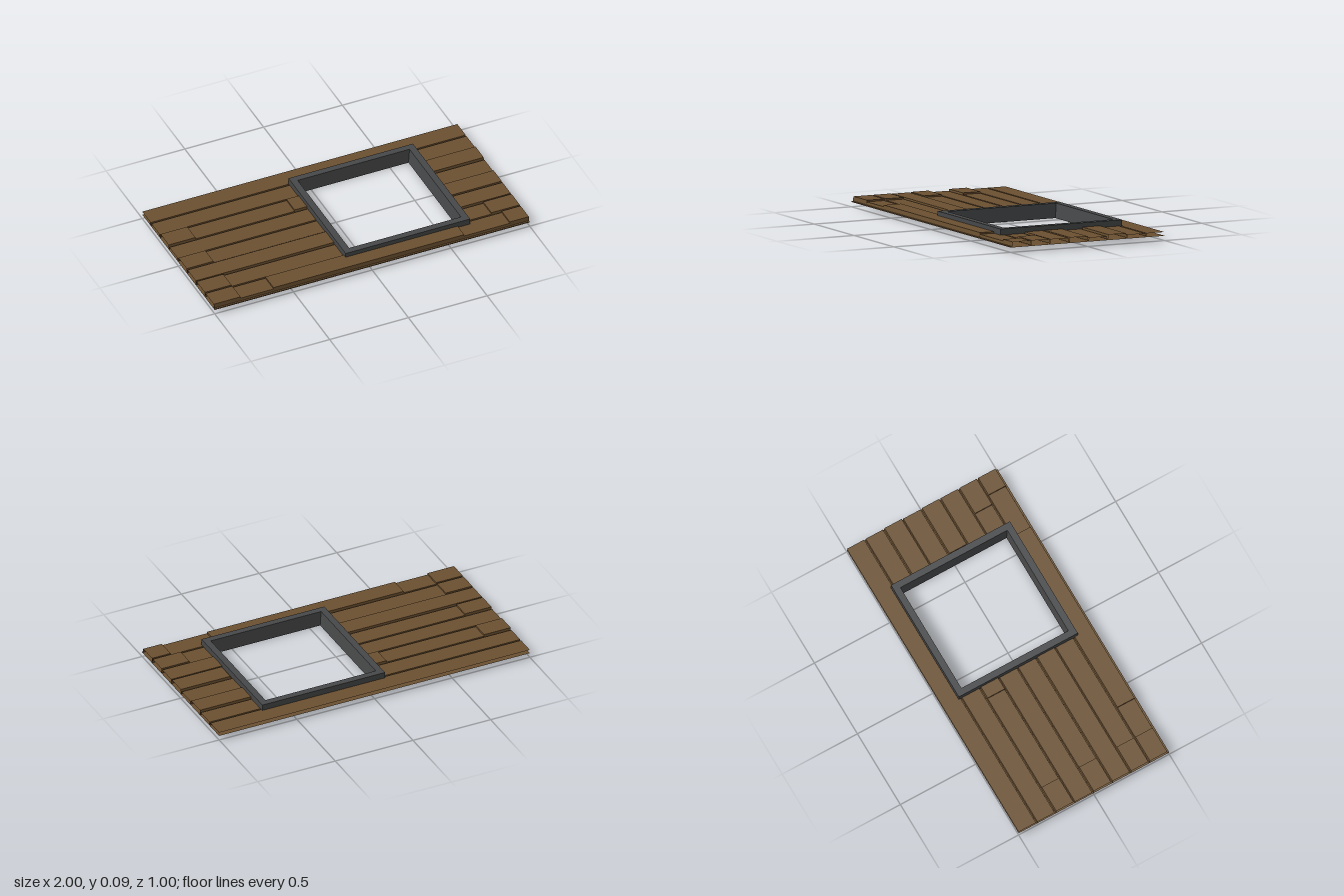
import * as THREE from 'three';

const BOTTOM = 0.028, GROOVE = 0.034, LOW = 0.05, HIGH = 0.06;
const HOLE = { x0: -0.122, x1: 0.672, z: 0.397 };
const FIRST_GROOVE = -0.38, PITCH = 0.1245;

// Planks per row, back to front: [start x, top height]
const ROWS = [
  [[-1, LOW]],
  [[-1, LOW]],
  [[-1, HIGH], [-0.83, LOW], [-0.2, HIGH]],
  [[-1, LOW]],
  [[-1, HIGH], [-0.83, LOW], [0.68, HIGH]],
  [[-1, 0.058]],
  [[-1, HIGH], [-0.83, LOW], [0.82, HIGH]],
  [[-1, HIGH], [-0.83, LOW], [-0.62, HIGH], [0.59, LOW], [0.88, HIGH]],
];

// Collects flat four-cornered faces into one geometry
function faceCollector() {
  const pos = [];
  return {
    quad(a, b, c, d) { pos.push(...a, ...b, ...c, ...a, ...c, ...d); },
    build() {
      const g = new THREE.BufferGeometry();
      g.setAttribute('position', new THREE.Float32BufferAttribute(pos, 3));
      g.computeVertexNormals();
      return g;
    },
  };
}

const inHole = (x, z) => x > HOLE.x0 && x < HOLE.x1 && Math.abs(z) < HOLE.z;

// Cross-section of one row: [z, y] points from its back edge to its front edge
function rowProfile(i, h) {
  const z0 = FIRST_GROOVE + PITCH * (i - 1), z1 = z0 + PITCH;
  const first = i === 0, last = i === ROWS.length - 1;
  const p = first ? [[-0.5, h], [-HOLE.z, h]] : [[z0, GROOVE], [z0 + 0.003, GROOVE], [z0 + 0.006, h]];
  if (last) p.push([HOLE.z, h]);
  p.push([z1 - 0.005, h], [z1 - 0.002, GROOVE], [z1, GROOVE]);
  if (last) p.push([0.5, GROOVE], [0.5, BOTTOM]);
  return p;
}

function plankGeometry() {
  const f = faceCollector();
  ROWS.forEach((planks, i) => {
    planks.forEach(([start, h], k) => {
      const end = k + 1 < planks.length ? planks[k + 1][0] : 1;
      const xs = [start, HOLE.x0, HOLE.x1, end].filter((x) => x >= start && x <= end).sort((a, b) => a - b);
      const p = rowProfile(i, h);
      for (let j = 0; j + 1 < p.length; j++) {
        const [za, ya] = p[j], [zb, yb] = p[j + 1], zm = (za + zb) / 2;
        for (let m = 0; m + 1 < xs.length; m++) {
          const a = xs[m], b = xs[m + 1];
          if (inHole((a + b) / 2, zm)) continue;
          f.quad([a, ya, za], [a, yb, zb], [b, yb, zb], [b, ya, za]);
          // Walls of the window cut-out
          if (b === HOLE.x0 && inHole(0, zm)) f.quad([b, BOTTOM, zb], [b, BOTTOM, za], [b, ya, za], [b, yb, zb]);
          if (a === HOLE.x1 && inHole(0, zm)) f.quad([a, BOTTOM, za], [a, BOTTOM, zb], [a, yb, zb], [a, ya, za]);
          if (inHole((a + b) / 2, zb + 0.001) && zb === -HOLE.z) f.quad([a, BOTTOM, zb], [b, BOTTOM, zb], [b, yb, zb], [a, yb, zb]);
          if (inHole((a + b) / 2, za - 0.001) && za === HOLE.z) f.quad([b, BOTTOM, za], [a, BOTTOM, za], [a, ya, za], [b, ya, za]);
        }
        // Step at the joint with the next plank
        if (k + 1 < planks.length && ya === h && yb === h && !inHole(end, zm)) {
          const n = planks[k + 1][1];
          f.quad([end, n, zb], [end, n, za], [end, h, za], [end, h, zb]);
        }
      }
    });
  });
  return f.build();
}

// Flat underside with the window opening left out
function undersideGeometry() {
  const f = faceCollector();
  const xs = [-1, HOLE.x0, HOLE.x1, 1], zs = [-0.5, -HOLE.z, HOLE.z, 0.5], y = BOTTOM;
  for (let i = 0; i < 3; i++) {
    for (let j = 0; j < 3; j++) {
      if (i === 1 && j === 1) continue;
      f.quad([xs[i], y, zs[j]], [xs[i + 1], y, zs[j]], [xs[i + 1], y, zs[j + 1]], [xs[i], y, zs[j + 1]]);
    }
  }
  return f.build();
}

// Square frame: a closed profile turned in four steps, inner wall slightly tapered
function frameGeometry() {
  const profile = [[0.343, 0], [0.395, 0], [0.395, 0.085], [0.355, 0.085], [0.343, 0]]
    .map(([r, y]) => new THREE.Vector2(r * Math.SQRT2, y));
  const g = new THREE.LatheGeometry(profile, 4, Math.PI / 4).toNonIndexed();
  g.computeVertexNormals();
  return g;
}

export function createModel() {
  const model = new THREE.Group();
  model.name = 'plankPanelWithWindow';
  const wood = new THREE.MeshStandardMaterial({ color: 0x6b5030, flatShading: true, side: THREE.DoubleSide });
  const metal = new THREE.MeshStandardMaterial({ color: 0x464748, flatShading: true });
  const add = (name, geometry, material) => {
    const mesh = new THREE.Mesh(geometry, material);
    mesh.name = name;
    model.add(mesh);
    return mesh;
  };
  add('planks', plankGeometry(), wood);
  add('underside', undersideGeometry(), wood);
  add('windowFrame', frameGeometry(), metal).position.x = 0.275;
  return model;
}
